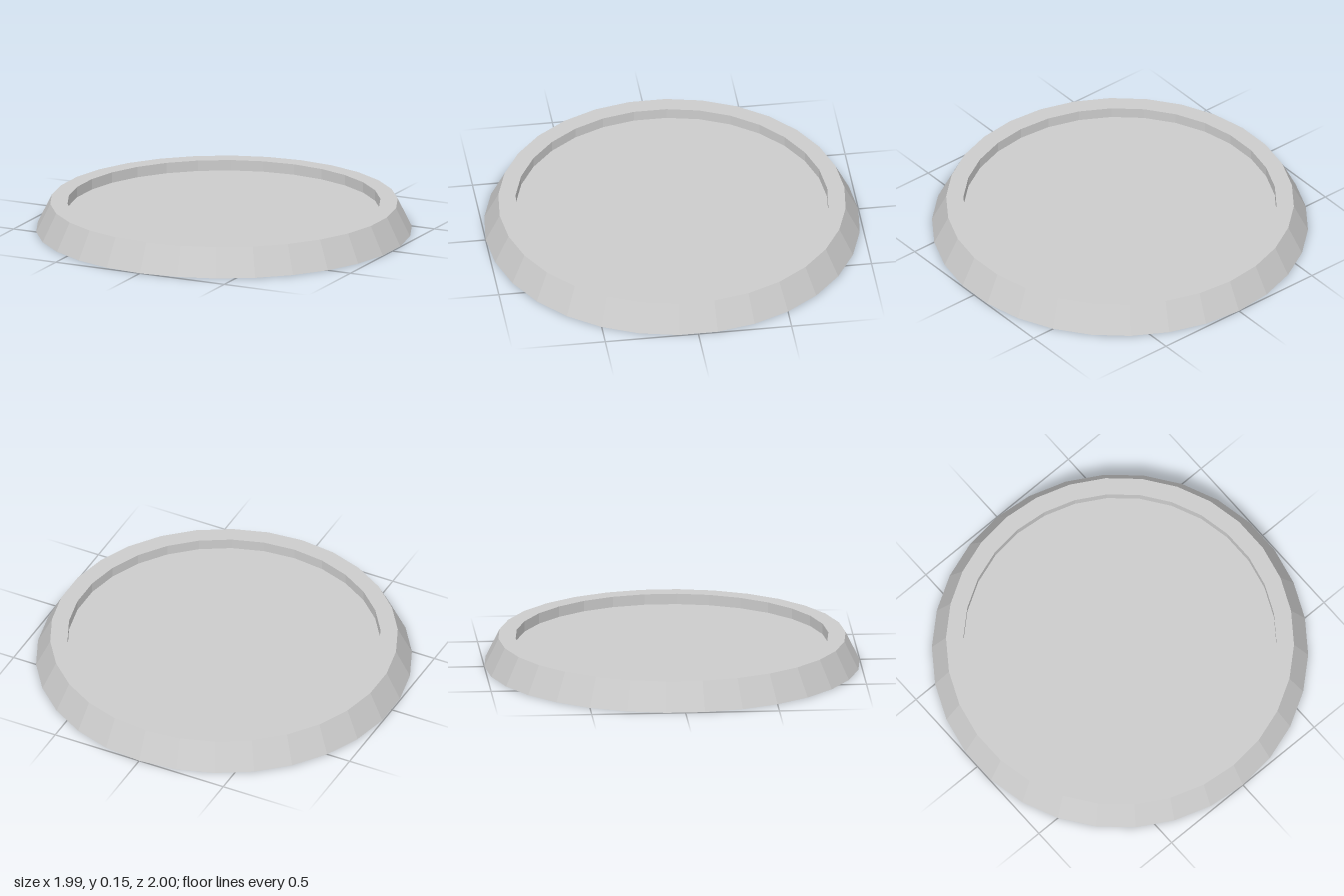
import * as THREE from 'three';

const SIDES = 30;
const HEIGHT = 0.152;
const FLOOR = 0.095;

export function createModel() {
  const group = new THREE.Group();
  group.name = 'roundBase';

  // Closed profile: underside, sloped side, flat rim, recess wall, recess floor
  const profile = [
    [0, 0],
    [1, 0],
    [0.925, HEIGHT],
    [0.833, HEIGHT],
    [0.833, FLOOR],
    [0, FLOOR],
  ].map(([r, y]) => new THREE.Vector2(r, y));

  // Separate the faces so every facet keeps its own normal
  const geometry = new THREE.LatheGeometry(profile, SIDES).toNonIndexed();
  geometry.computeVertexNormals();

  const material = new THREE.MeshStandardMaterial({ color: 0xcccccc, flatShading: true });
  const base = new THREE.Mesh(geometry, material);
  base.name = 'recessedDisc';
  group.add(base);

  return group;
}
